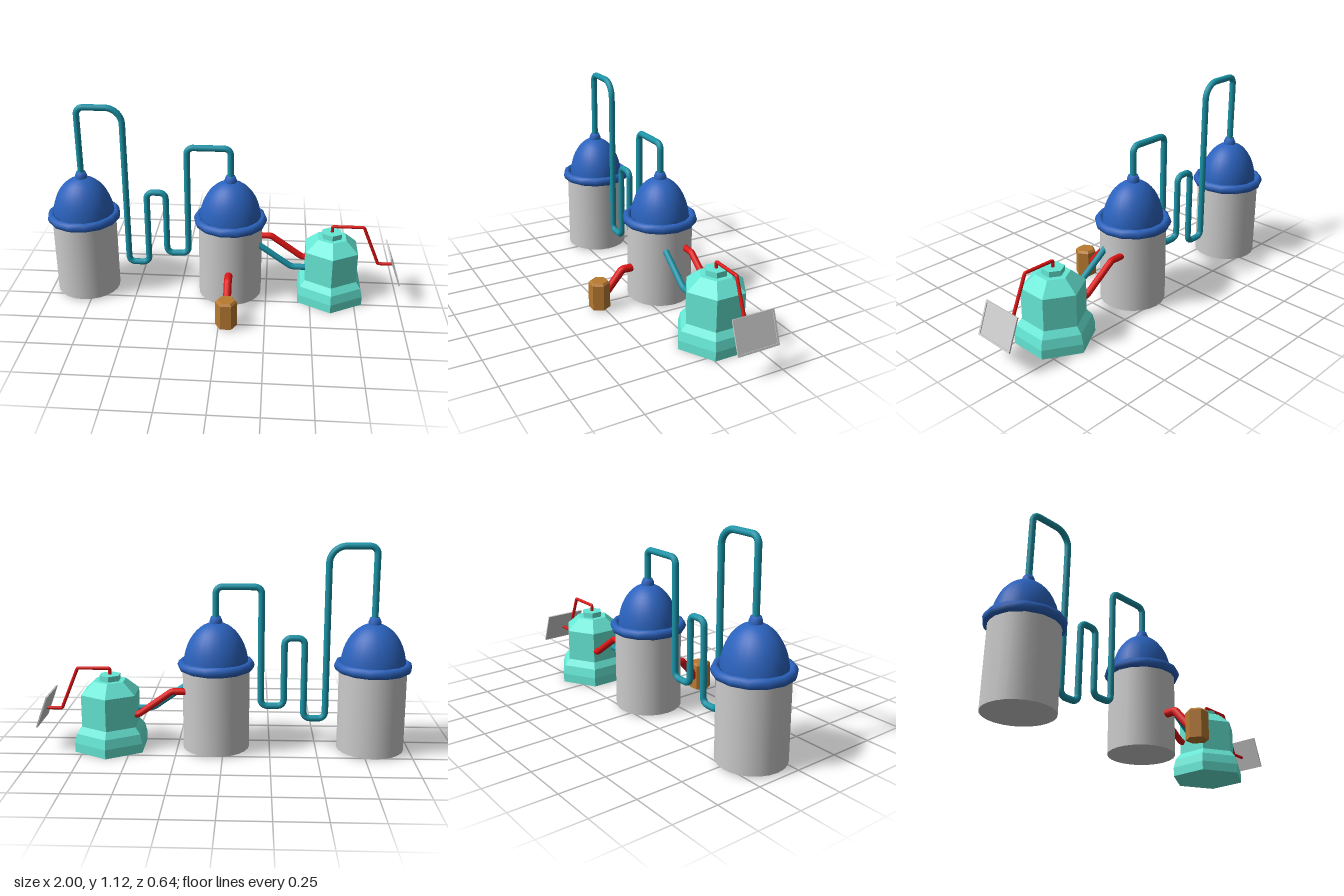
import * as THREE from 'three';

const mat = (color, flatShading = false) =>
  new THREE.MeshStandardMaterial({ color, flatShading, side: THREE.DoubleSide });
const grey = mat(0xcccccc), blue = mat(0x2a62bd), teal = mat(0x1a94a8), red = mat(0xe01414);
const mint = mat(0x66e8d6, true), brown = mat(0xb87a30, true);
const Z = -0.107; // depth of the main row

function add(parent, name, geometry, material, x = 0, y = 0, z = 0) {
  const mesh = new THREE.Mesh(geometry, material);
  mesh.name = name;
  mesh.position.set(x, y, z);
  parent.add(mesh);
  return mesh;
}

const lathe = (profile, sides) =>
  new THREE.LatheGeometry(profile.map(([r, y]) => new THREE.Vector2(r, y)), sides);

// Tube along straight runs with rounded corners; a point may carry its own bend radius
function pipe(points, radius, bend, segments, sides = 12) {
  const v = points.map(p => new THREE.Vector3(p[0], p[1], p[2]));
  const path = new THREE.CurvePath();
  let from = v[0];
  for (let i = 1; i < v.length - 1; i++) {
    const r = points[i][3] ?? bend;
    const a = v[i].clone().add(v[i - 1].clone().sub(v[i]).setLength(r));
    const b = v[i].clone().add(v[i + 1].clone().sub(v[i]).setLength(r));
    path.add(new THREE.LineCurve3(from, a));
    // cubic handles approximate a circular bend
    path.add(new THREE.CubicBezierCurve3(a, a.clone().lerp(v[i], 0.55), b.clone().lerp(v[i], 0.55), b));
    from = b;
  }
  path.add(new THREE.LineCurve3(from, v[v.length - 1]));
  path.arcLengthDivisions = 800;
  return new THREE.TubeGeometry(path, segments, radius, sides);
}

function tank(x) {
  const g = new THREE.Group();
  g.name = 'tank';
  g.position.set(x, 0, Z);
  add(g, 'tankBody', new THREE.CylinderGeometry(0.179, 0.179, 0.45, 24), grey, 0, 0.235, 0);
  // slightly oval dome
  const dome = new THREE.SphereGeometry(1, 24, 12, 0, Math.PI * 2, 0, Math.PI / 2);
  add(g, 'dome', dome, blue, 0, 0.455, 0).scale.set(0.174, 0.243, 0.156);
  const ring = new THREE.TorusGeometry(0.183, 0.023, 8, 14).rotateX(Math.PI / 2);
  add(g, 'rimRing', ring, blue, 0, 0.467, 0).scale.y = 1.18;
  add(g, 'neck', lathe([[0.034, 0.685], [0.034, 0.705], [0.025, 0.728], [0, 0.728]], 12), blue);
  return g;
}

export function createModel() {
  const model = new THREE.Group();
  model.name = 'distillery';
  model.add(tank(-0.792), tank(0.04));

  // Winding pipe between the two domes
  const winding = [
    [-0.792, 0.7], [-0.792, 1.1, 0.04], [-0.546, 1.1, 0.09], [-0.546, 0.171], [-0.43, 0.171],
    [-0.43, 0.613], [-0.323, 0.613], [-0.323, 0.238], [-0.2, 0.238], [-0.2, 0.885],
    [0.04, 0.885], [0.04, 0.7],
  ].map(([x, y, r]) => [x, y, Z, r]);
  add(model, 'windingPipe', pipe(winding, 0.0175, 0.035, 500), teal);

  // Hexagonal boiler
  add(model, 'boiler', lathe([
    [0, 0], [0.209, 0], [0.209, 0.05], [0.196, 0.1], [0.166, 0.135], [0.166, 0.31],
    [0.09, 0.375], [0.06, 0.375], [0.06, 0.405], [0, 0.405],
  ], 6), mint, 0.612, 0, Z);

  // Pipes from the right tank to the boiler
  add(model, 'hotPipe', pipe([[0.18, 0.333, -0.174], [0.272, 0.333, -0.174],
    [0.45, 0.205, -0.174], [0.5, 0.2, -0.174]], 0.018, 0.01, 80), red);
  add(model, 'returnPipe', pipe([[0.18, 0.352, -0.055], [0.39, 0.203, -0.055],
    [0.5, 0.203, -0.055]], 0.017, 0.02, 80), teal);

  // Spout and collecting canister
  add(model, 'spout', pipe([[0.042, 0.2, 0.04], [0.042, 0.2, 0.128],
    [0.042, 0.075, 0.235]], 0.022, 0.012, 60), red);
  const canister = lathe([[0, 0.01], [0.059, 0.01], [0.059, 0.154], [0.047, 0.166], [0, 0.166]], 6);
  add(model, 'canister', canister.rotateY(Math.PI / 2), brown, 0.042, 0, 0.268);

  // Thin arm carrying the tilted panel
  add(model, 'panelArm', pipe([[0.612, 0.39, Z], [0.612, 0.438, Z], [0.787, 0.438, Z],
    [0.88, 0.212, Z], [0.964, 0.212, Z]], 0.009, 0.006, 160, 8), red);
  const panel = new THREE.Group();
  panel.name = 'panel';
  panel.position.set(0.961, 0.222, Z);
  panel.rotation.z = 0.35;
  add(panel, 'panelPlate', new THREE.BoxGeometry(0.004, 0.178, 0.236), grey);
  for (const s of [-1, 1]) {
    add(panel, 'frameRail', new THREE.BoxGeometry(0.008, 0.01, 0.236), grey, 0.002, s * 0.084, 0);
    add(panel, 'frameSide', new THREE.BoxGeometry(0.008, 0.158, 0.01), grey, 0.002, 0, s * 0.113);
  }
  model.add(panel);
  return model;
}
